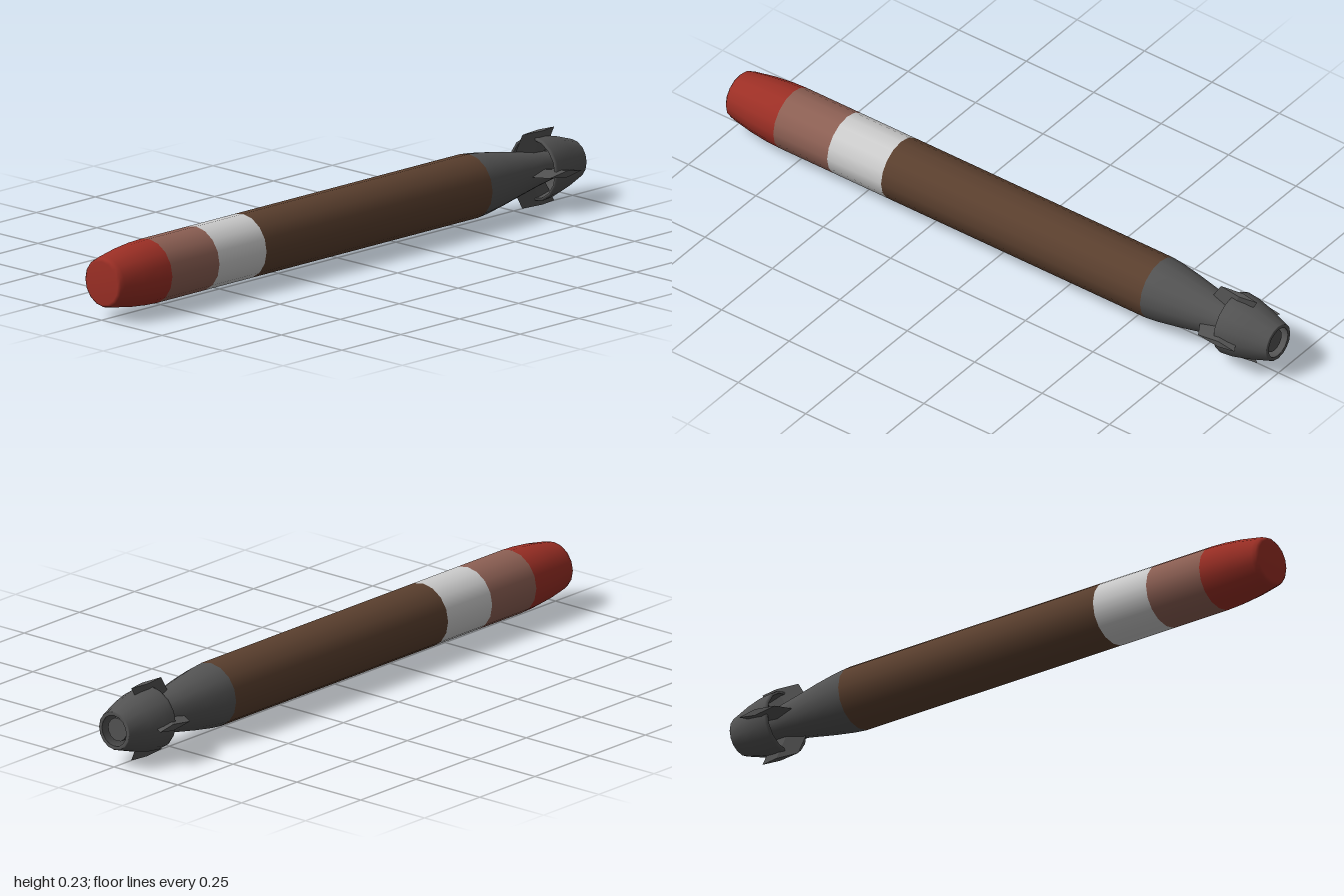
import * as THREE from 'three';

const AXIS_Y = 0.113;
const R = 0.098;

const paint = (name, hex) => {
  const m = new THREE.MeshStandardMaterial({ color: hex });
  m.name = name;
  return m;
};

// Body of revolution along z; profile is [radius, z] from back to front
function turned(name, profile, material) {
  const points = profile.map(([r, z]) => new THREE.Vector2(r, z));
  const geometry = new THREE.LatheGeometry(points, 16);
  geometry.rotateX(Math.PI / 2);
  const mesh = new THREE.Mesh(geometry, material);
  mesh.name = name;
  return mesh;
}

// Diamond-section fin pointing up, swept back with height
function finGeometry() {
  const inner = 0.045, outer = 0.113;
  const plan = new THREE.Shape();
  plan.moveTo(0, 0.755);
  plan.lineTo(0.01, 0.83);
  plan.lineTo(0, 0.89);
  plan.lineTo(-0.01, 0.83);
  plan.closePath();
  const geometry = new THREE.ExtrudeGeometry(plan, { depth: outer - inner, bevelEnabled: false });
  geometry.rotateX(-Math.PI / 2);
  geometry.translate(0, inner, 0);
  const p = geometry.attributes.position;
  for (let i = 0; i < p.count; i++) p.setZ(i, p.getZ(i) - 0.6 * (p.getY(i) - 0.06));
  geometry.computeVertexNormals();
  return geometry;
}

export function createModel() {
  const red = paint('nose red', 0x9c2f25);
  const pink = paint('dusty brown', 0x8d6054);
  const white = paint('band white', 0xcccccc);
  const brown = paint('body brown', 0x5a3f2e);
  const grey = paint('tail grey', 0x535353);

  const model = new THREE.Group();
  model.name = 'torpedo';
  const hull = new THREE.Group();
  hull.name = 'hull';
  hull.position.y = AXIS_Y;
  model.add(hull);

  // Hull sections
  hull.add(
    turned('nose', [[R, 0.8], [0.096, 0.85], [0.09, 0.91], [0.078, 0.98], [0.074, 0.993], [0.066, 1], [0, 1]], red),
    turned('sensorSection', [[R, 0.6], [R, 0.8]], pink),
    turned('whiteBand', [[R, 0.4], [R, 0.6]], white),
    turned('mainBody', [[R, -0.56], [R, 0.4]], brown),
    turned('tailCone', [
      [0, -0.985], [0.036, -0.985], [0.036, -0.985], [0.04, -0.92], [0.052, -0.84],
      [0.068, -0.75], [0.083, -0.67], [0.094, -0.6], [R, -0.56],
    ], grey),
    // Hollow duct around the propulsor
    turned('duct', [
      [0.09, -0.835], [0.08, -0.9], [0.048, -0.998], [0.048, -1], [0.058, -1], [0.06, -0.998],
      [0.082, -0.93], [0.094, -0.88], [0.098, -0.84], [0.097, -0.832], [0.09, -0.832], [0.09, -0.835],
    ], grey),
  );

  // Four tail fins
  const fin = finGeometry();
  for (let i = 0; i < 4; i++) {
    const mesh = new THREE.Mesh(fin, grey);
    mesh.name = 'tailFin' + (i + 1);
    mesh.rotation.z = (i * Math.PI) / 2;
    hull.add(mesh);
  }
  return model;
}
